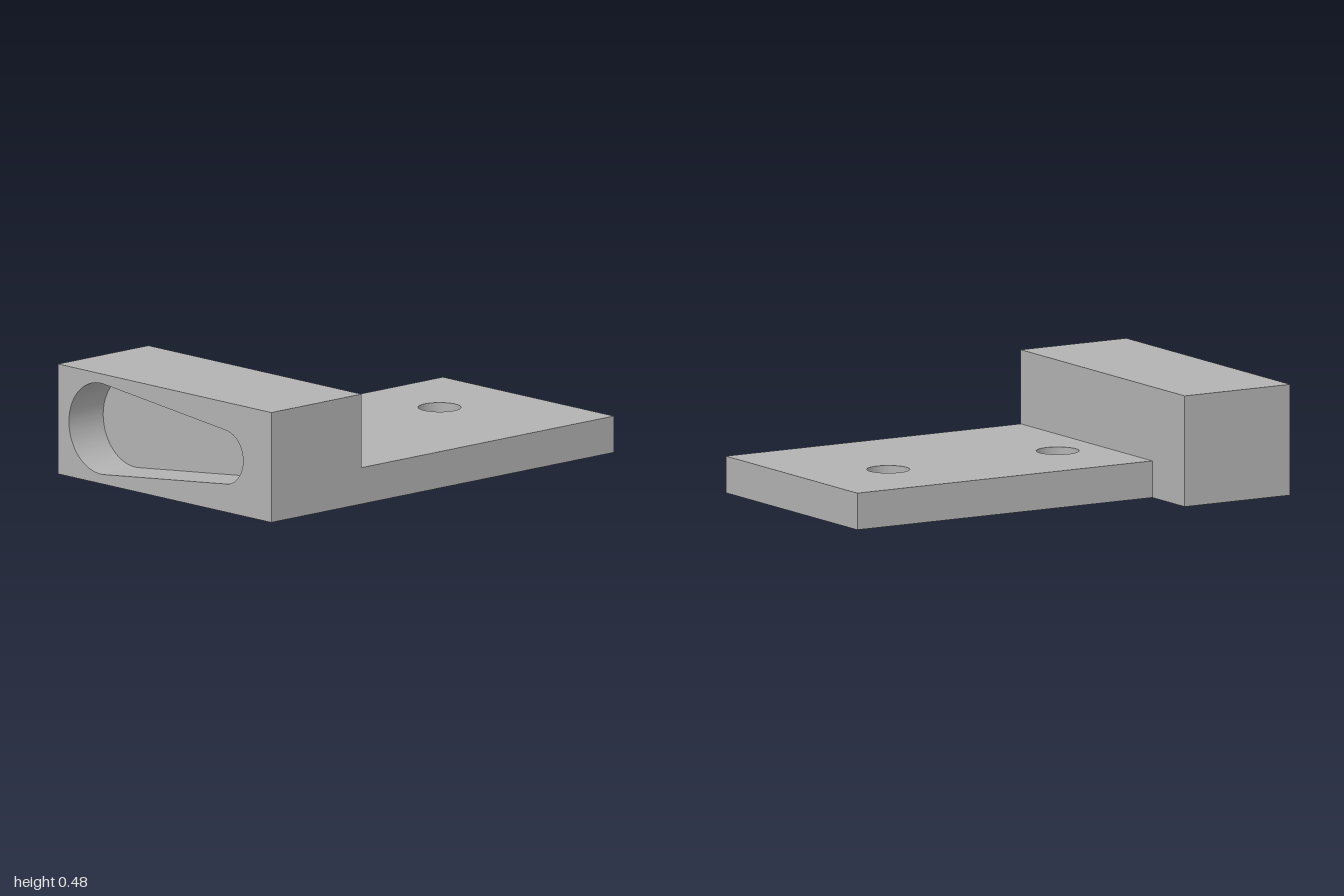
import * as THREE from 'three';
import { toCreasedNormals } from 'three/addons/utils/BufferGeometryUtils.js';

const HALF_W = 0.657, BLOCK_H = 0.477, PLATE_H = 0.158;
const BLOCK_BACK = 0.473, POCKET_DEPTH = 0.2, PLATE_LEFT = -0.397;

function rectShape(x0, y0, x1, y1) {
  return new THREE.Shape([[x0, y0], [x1, y0], [x1, y1], [x0, y1]].map(p => new THREE.Vector2(...p)));
}

function extrude(shape, depth) {
  return new THREE.ExtrudeGeometry(shape, { depth, bevelEnabled: false, curveSegments: 40 });
}

// Tapered slot: a large and a small arc joined by their common tangents
function slotPath(x1, r1, x2, r2, y) {
  const a = Math.PI / 2 - Math.asin((r1 - r2) / (x2 - x1));
  const path = new THREE.Path();
  path.absarc(x1, y, r1, a, 2 * Math.PI - a, false);
  path.absarc(x2, y, r2, -a, a, false);
  path.closePath();
  return path;
}

export function createModel() {
  const group = new THREE.Group();
  const grey = new THREE.MeshStandardMaterial({ color: 0xb2b2b2 });
  grey.name = 'grey';

  const add = (name, geometry, parent = group) => {
    const mesh = new THREE.Mesh(toCreasedNormals(geometry, 0.5), grey);
    mesh.name = name;
    parent.add(mesh);
    return mesh;
  };

  // Base plate with two through holes, drawn in x and -z, then laid flat
  const plate = rectShape(PLATE_LEFT, -BLOCK_BACK, HALF_W, 1);
  for (const z of [-0.583, 0.262]) {
    plate.holes.push(new THREE.Path().absarc(0.023, -z, 0.091, 0, Math.PI * 2, true));
  }
  add('basePlate', extrude(plate, PLATE_H).rotateX(-Math.PI / 2));

  // Front block: a solid rear part and a front part pierced by the tapered pocket
  const block = new THREE.Group();
  block.name = 'frontBlock';
  group.add(block);

  const rearDepth = 1 - POCKET_DEPTH - BLOCK_BACK;
  add('blockRear', new THREE.BoxGeometry(2 * HALF_W, BLOCK_H, rearDepth)
    .translate(0, BLOCK_H / 2, BLOCK_BACK + rearDepth / 2), block);

  const face = rectShape(-HALF_W, 0, HALF_W, BLOCK_H);
  face.holes.push(slotPath(-0.393, 0.197, 0.366, 0.117, BLOCK_H / 2));
  add('pocketFront', extrude(face, POCKET_DEPTH).translate(0, 0, 1 - POCKET_DEPTH), block);

  return group;
}
